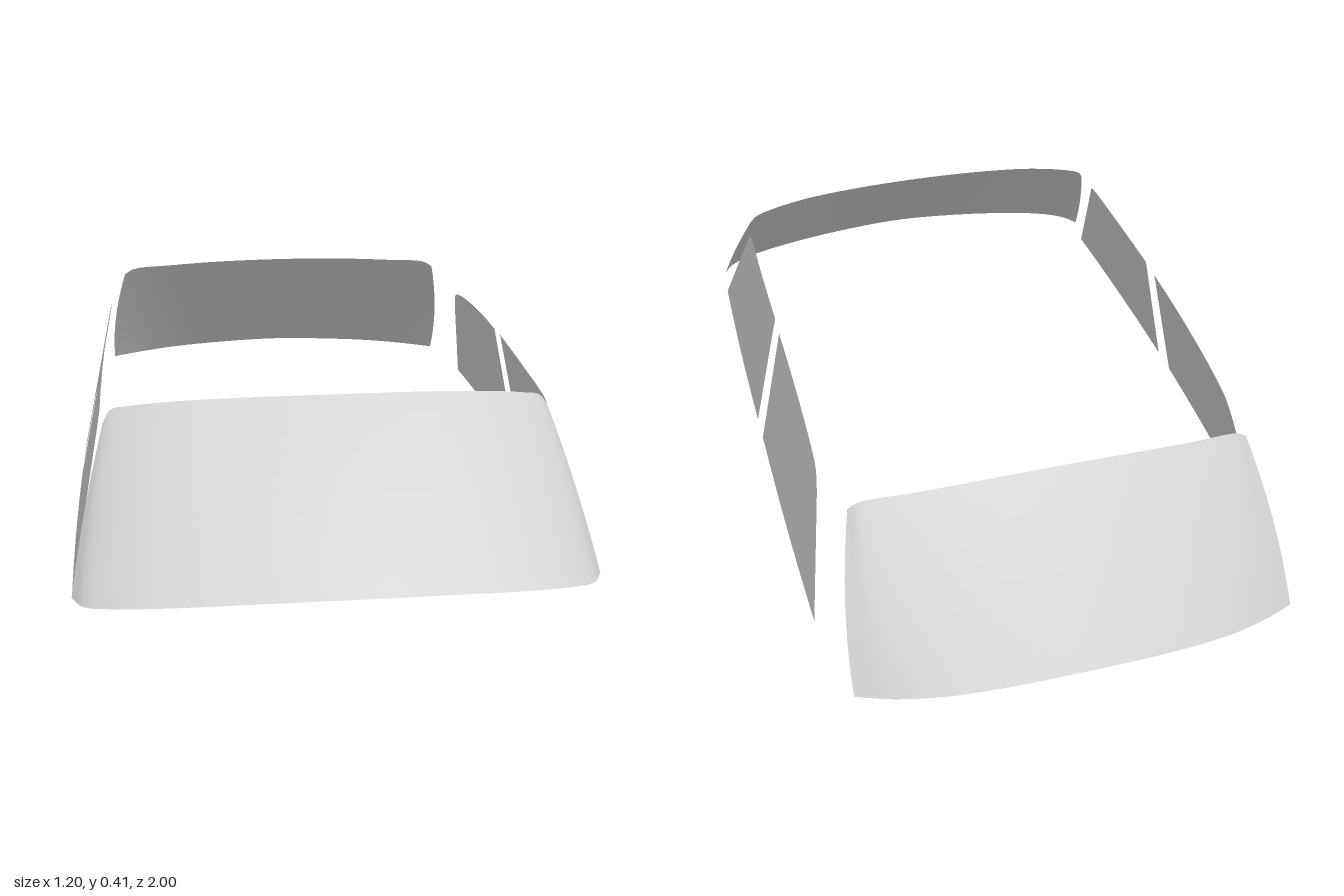
import * as THREE from 'three';

const glass = new THREE.MeshStandardMaterial({ color: 0xcccccc, side: THREE.DoubleSide });
const curveOf = pts => new THREE.CatmullRomCurve3(pts.map(p => new THREE.Vector3(...p)), false, 'centripetal');

// Pane lofted between a lower and an upper edge; bend(point, v) adds curvature
function pane(name, lower, upper, flip, bend, cols = 40, rows = 10) {
  const a = curveOf(lower), b = curveOf(upper);
  const pos = [], idx = [];
  for (let i = 0; i <= cols; i++) {
    const p = a.getPoint(i / cols), q = b.getPoint(i / cols);
    for (let j = 0; j <= rows; j++) {
      const r = p.clone().lerp(q, j / rows);
      bend(r, j / rows);
      pos.push(r.x, r.y, r.z);
      if (i < cols && j < rows) {
        const k = i * (rows + 1) + j, n = k + rows + 1;
        if (flip) idx.push(k, k + 1, n, n, k + 1, n + 1);
        else idx.push(k, n, k + 1, n, n + 1, k + 1);
      }
    }
  }
  const g = new THREE.BufferGeometry();
  g.setAttribute('position', new THREE.Float32BufferAttribute(pos, 3));
  g.setIndex(idx);
  g.computeVertexNormals();
  const mesh = new THREE.Mesh(g, glass);
  mesh.name = name;
  return mesh;
}

// Full edge from its half (centre outwards), running from -x to +x
const mirrored = half => [...half.slice(1).reverse().map(([x, y, z]) => [-x, y, z]), ...half];

// Side glass leans inwards with height and bows slightly along the car
const sideX = (z, y) => 0.607 - 0.027 * (z - 0.25) ** 2 - 0.215 * y;

export function createModel() {
  const group = new THREE.Group();
  group.name = 'carWindows';

  // Windscreen
  group.add(pane('windscreen',
    mirrored([[0, 0.075, 1], [0.2, 0.07, 0.99], [0.38, 0.06, 0.97], [0.5, 0.051, 0.945], [0.565, 0.044, 0.915], [0.592, 0.045, 0.872]]),
    mirrored([[0, 0.417, 0.655], [0.2, 0.415, 0.65], [0.35, 0.408, 0.64], [0.46, 0.395, 0.625], [0.5, 0.385, 0.618], [0.518, 0.358, 0.632]]),
    false, (r, v) => { r.x *= 1 + 0.04 * v * (1 - v); }));

  // Rear window
  group.add(pane('rearWindow',
    mirrored([[0, 0.025, -1], [0.2, 0.02, -0.993], [0.35, 0.014, -0.975], [0.46, 0.009, -0.946], [0.538, 0.006, -0.915]]),
    mirrored([[0, 0.386, -0.695], [0.2, 0.383, -0.693], [0.34, 0.377, -0.687], [0.46, 0.37, -0.677], [0.487, 0.355, -0.675]]),
    true, (r, v) => { r.x *= 1 + 0.1 * v * (1 - v); }));

  // Side window edges as [z, y], front to rear
  const sides = {
    FrontWindow: [
      [[0.82, 0.01], [0.8, 0.0105], [0.77, 0.011], [0.5, 0.017], [0.12, 0.025]],
      [[0.58, 0.338], [0.568, 0.351], [0.55, 0.357], [0.35, 0.363], [0.1, 0.368]]],
    RearWindow: [
      [[0.035, 0.026], [-0.12, 0.022], [-0.3, 0.016], [-0.46, 0.011], [-0.55, 0.009], [-0.62, 0.007], [-0.662, 0.005]],
      [[0.035, 0.364], [-0.1, 0.362], [-0.28, 0.35], [-0.43, 0.329], [-0.475, 0.314], [-0.505, 0.284], [-0.54, 0.226]]],
  };
  for (const [side, s] of [['left', 1], ['right', -1]])
    for (const [name, edges] of Object.entries(sides)) {
      const [lower, upper] = edges.map(e => e.map(([z, y]) => [0, y, z]));
      group.add(pane(side + name, lower, upper, s < 0, r => { r.x = s * sideX(r.z, r.y); }));
    }
  return group;
}
